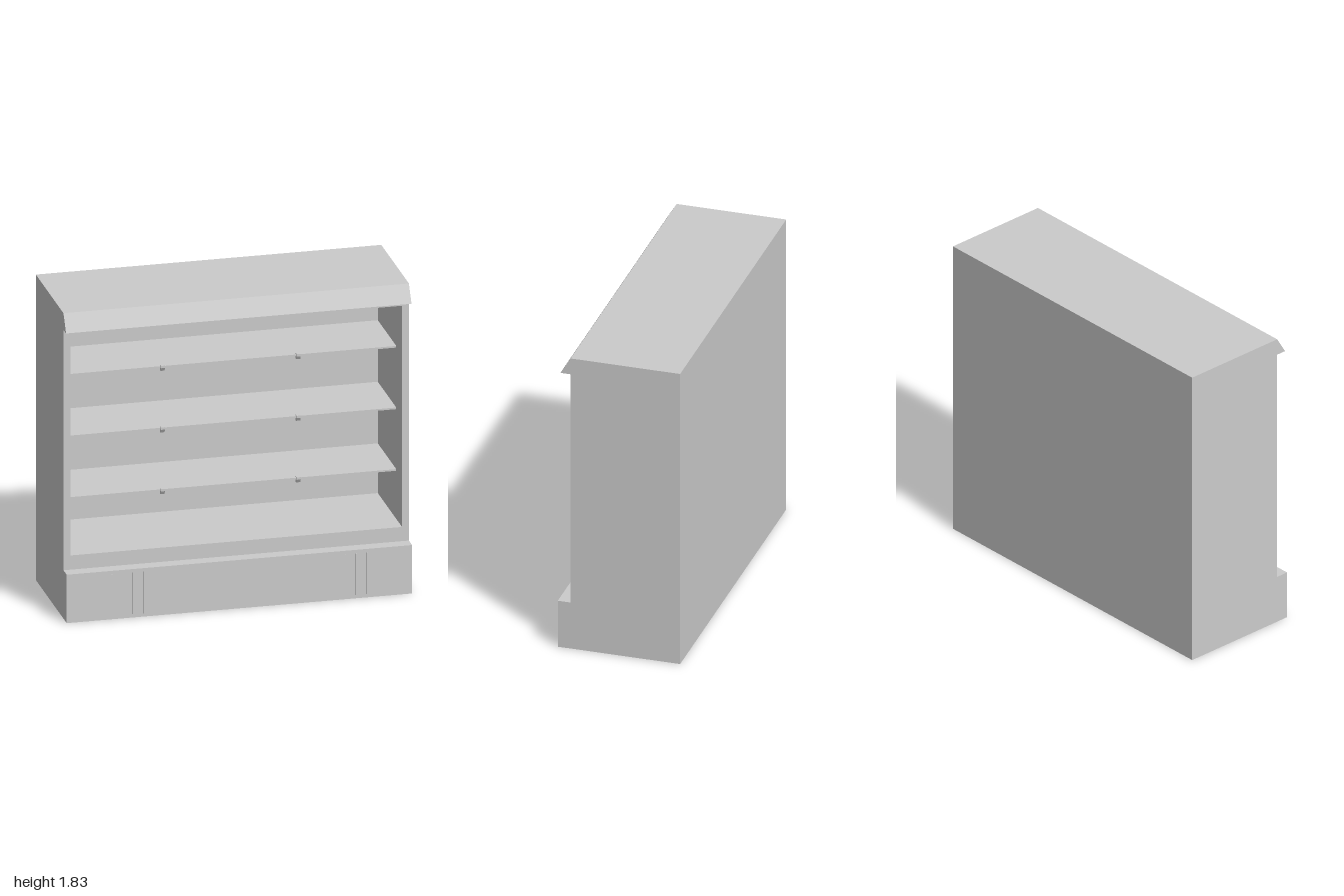
import * as THREE from 'three';

const material = new THREE.MeshStandardMaterial({ color: 0xcccccc, flatShading: true });

// Extrude a side profile of [z, y] points along x, centred on x = cx.
function profileMesh(name, points, width, cx = 0) {
  const shape = new THREE.Shape(points.map(([z, y]) => new THREE.Vector2(z, y)));
  const geometry = new THREE.ExtrudeGeometry(shape, { depth: width, bevelEnabled: false });
  geometry.translate(0, 0, -width / 2).rotateY(-Math.PI / 2).translate(cx, 0, 0);
  const mesh = new THREE.Mesh(geometry, material);
  mesh.name = name;
  return mesh;
}

function box(name, w, h, d, x, y, z) {
  const mesh = new THREE.Mesh(new THREE.BoxGeometry(w, h, d), material);
  mesh.position.set(x, y, z);
  mesh.name = name;
  return mesh;
}

export function createModel() {
  const model = new THREE.Group();
  model.name = 'displayCabinet';

  const BACK = -0.36, FRONT = 0.285, BASE = 0.36, TOP = 1.83;
  const INNER = 0.96, INNER_BACK = -0.28, FLOOR = 0.375, CEILING = 1.7;

  // Outline shared by end panels and core: plinth, front face, canopy lip
  const lower = [[BACK, 0], [BASE, 0], [BASE, 0.29], [FRONT, 0.29]];
  const upper = [[FRONT, 1.73], [0.345, 1.73], [FRONT, TOP], [BACK, TOP]];
  const recess = [[FRONT, FLOOR], [INNER_BACK, FLOOR], [INNER_BACK, CEILING], [FRONT, CEILING]];

  // Core with the open display bay, closed by two end panels
  model.add(profileMesh('cabinetCore', [...lower, ...recess, ...upper], INNER * 2));
  for (const side of [-1, 1]) {
    model.add(profileMesh('endPanel', [...lower, ...upper], 1 - INNER, side * (1 + INNER) / 2));
  }

  // Thin shelves with small wedge clips on the front edge
  const shelfFront = 0.15;
  for (const y of [0.668, 1.037, 1.406]) {
    model.add(box('shelf', INNER * 2, 0.01, shelfFront - INNER_BACK, 0, y, (shelfFront + INNER_BACK) / 2));
    const clip = [[0.135, y - 0.024], [0.148, y - 0.024], [0.16, y - 0.004], [0.16, y + 0.01], [0.135, y + 0.01]];
    for (const x of [-0.393, 0.393]) model.add(profileMesh('shelfClip', clip, 0.024, x));
  }

  // Slim vent ribs at both ends of the plinth
  for (const side of [-1, 1]) {
    for (let i = 0; i < 8; i++) {
      model.add(box('ventRib', 0.006, 0.25, 0.006, side * (0.92 - i * 0.061), 0.145, BASE - 0.001));
    }
  }
  return model;
}
